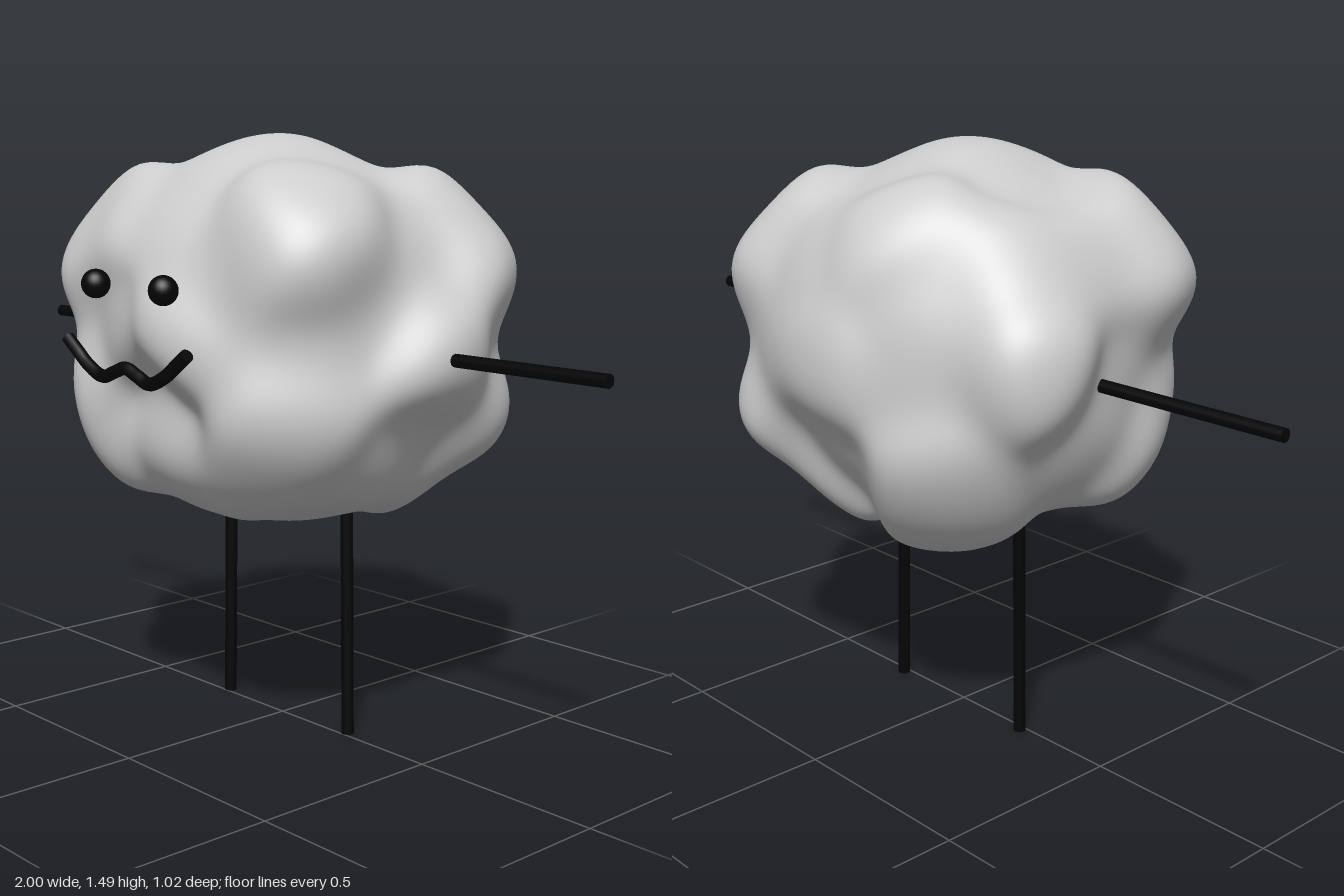
import * as THREE from 'three';
import { mergeVertices } from 'three/addons/utils/BufferGeometryUtils.js';

const CENTER = new THREE.Vector3(0, 1, 0);
const SHARPNESS = 32;

// Guide points on the lumpy surface: lump tips and the hollows between them.
const GUIDES = [
  // crown
  [0, 1.49, 0.01], [0.2, 1.43, 0.02], [-0.22, 1.41, 0], [0, 1.44, 0.2],
  [0.05, 1.42, -0.19], [-0.15, 1.36, -0.36],
  // shoulders
  [0.36, 1.37, 0.19], [0.45, 1.27, 0.25], [0.36, 1.25, 0.35], [0.39, 1.31, -0.29],
  [0.47, 1.17, -0.35], [-0.42, 1.31, 0.26], [-0.48, 1.18, 0.32], [-0.28, 1.27, 0.37],
  [0, 1.3, 0.37], [0.2, 1.16, 0.39], [0.1, 1.25, -0.42], [-0.4, 1.28, -0.2],
  [0.42, 1.24, -0.03], [-0.45, 1.26, 0.02], [-0.28, 1.18, -0.36],
  // waist
  [0.13, 1.0, 0.465], [-0.15, 1.03, 0.42], [0.39, 1.0, 0.3], [0.45, 1.1, 0.13],
  [0.565, 0.95, -0.06], [0.43, 1.0, -0.31], [0.22, 1.0, -0.455], [-0.02, 0.98, -0.51],
  [-0.28, 1.0, -0.39], [-0.53, 1.07, -0.25], [-0.48, 0.98, 0.05], [-0.42, 1.0, 0.26],
  // hips
  [-0.41, 0.88, 0.33], [0, 0.86, 0.365], [0.4, 0.81, 0.32], [0.44, 0.78, -0.02],
  [0.43, 0.79, -0.37], [0.02, 0.8, -0.41], [-0.33, 0.77, -0.36], [-0.46, 0.8, -0.03],
  // underside
  [0, 0.7, 0.37], [0.28, 0.66, 0.31], [-0.38, 0.66, 0.25], [0.38, 0.65, 0.08],
  [0.28, 0.63, -0.28], [-0.28, 0.66, -0.33], [-0.2, 0.57, 0.08], [0.2, 0.565, 0.08],
  [0, 0.535, 0],
].map((p) => {
  const dir = new THREE.Vector3(...p).sub(CENTER);
  const radius = dir.length();
  return { dir: dir.normalize(), radius, blend: radius };
});

// Smooth blend of the guide radii in a given direction
function radiusAt(dir) {
  let sum = 0, weight = 0;
  for (const guide of GUIDES) {
    const w = Math.exp(SHARPNESS * (guide.dir.dot(dir) - 1));
    sum += w * guide.blend;
    weight += w;
  }
  return sum / weight;
}

// Undo the smoothing so the surface passes close to the guide points
for (let pass = 0; pass < 3; pass++) {
  const errors = GUIDES.map((guide) => guide.radius - radiusAt(guide.dir));
  GUIDES.forEach((guide, i) => { guide.blend += 0.7 * errors[i]; });
}

function lumpyBody() {
  let geo = new THREE.IcosahedronGeometry(1, 36);
  geo.deleteAttribute('normal');
  geo.deleteAttribute('uv');
  geo = mergeVertices(geo, 1e-5);
  const pos = geo.attributes.position;
  const v = new THREE.Vector3();
  for (let i = 0; i < pos.count; i++) {
    v.fromBufferAttribute(pos, i).normalize();
    v.multiplyScalar(radiusAt(v)).add(CENTER);
    pos.setXYZ(i, v.x, v.y, v.z);
  }
  geo.computeVertexNormals();
  return geo;
}

export function createModel() {
  const model = new THREE.Group();
  const gray = new THREE.MeshStandardMaterial({ color: 0xcccccc });
  gray.name = 'light gray';
  const black = new THREE.MeshStandardMaterial({ color: 0x040404 });
  black.name = 'black';

  const add = (name, geometry, material) => {
    const mesh = new THREE.Mesh(geometry, material);
    mesh.name = name;
    model.add(mesh);
    return mesh;
  };

  // Straight rod between two points
  const rod = (name, from, to) => {
    const a = new THREE.Vector3(...from), b = new THREE.Vector3(...to);
    const axis = b.clone().sub(a);
    const mesh = add(name, new THREE.CylinderGeometry(0.016, 0.016, axis.length(), 12), black);
    mesh.position.copy(a).add(b).multiplyScalar(0.5);
    mesh.quaternion.setFromUnitVectors(new THREE.Vector3(0, 1, 0), axis.normalize());
  };

  add('body', lumpyBody(), gray);

  // Limbs and eyes, mirrored
  for (const [side, s] of [['left', 1], ['right', -1]]) {
    rod(`${side}Arm`, [s * 0.45, 0.978, -0.025], [s, 0.978, -0.014]);
    rod(`${side}Leg`, [s * 0.22, 0.6, -0.015], [s * 0.229, 0, -0.015]);
    const eye = add(`${side}Eye`, new THREE.SphereGeometry(0.035, 24, 16), black);
    eye.position.set(s * 0.13, 1.138, 0.477);
  }

  // Wavy mouth, straight towards its flat-cut corners
  const half = [[0.228, 1.0], [0.19, 0.973], [0.15, 0.945], [0.09, 0.922], [0.045, 0.936]];
  const points = [
    ...half.map(([x, y]) => new THREE.Vector3(-x, y, 0.49)),
    new THREE.Vector3(0, 0.95, 0.49),
    ...half.map(([x, y]) => new THREE.Vector3(x, y, 0.49)).reverse(),
  ];
  add('mouth', new THREE.TubeGeometry(new THREE.CatmullRomCurve3(points), 60, 0.016, 12), black);
  for (const s of [-1, 1]) {
    const cap = add('mouthEnd', new THREE.CylinderGeometry(0.016, 0.016, 0.008, 12), black);
    cap.position.set(s * 0.227, 0.999, 0.49);
    cap.rotation.z = -s * 0.95;
  }
  return model;
}
